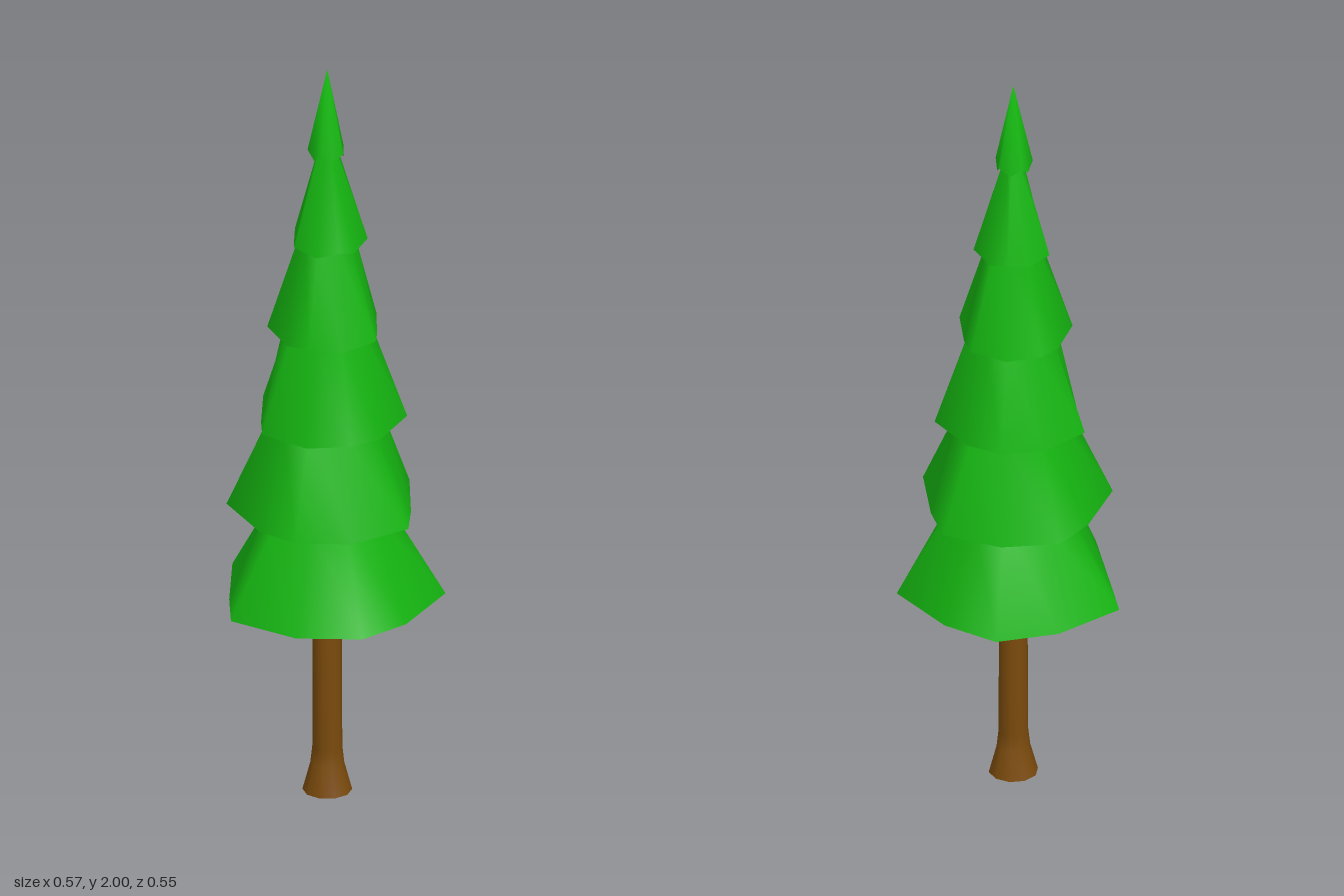
import * as THREE from 'three';
import { mergeVertices } from 'three/addons/utils/BufferGeometryUtils.js';

const SIDES = 10;
const green = new THREE.MeshStandardMaterial({ color: 0x15b511 });
const brown = new THREE.MeshStandardMaterial({ color: 0x7a4a0c });

// Turned surface; at the rim every second corner is pulled in and down
function turned(profile, rimRow = -1) {
  const geo = new THREE.LatheGeometry(profile.map(([r, y]) => new THREE.Vector2(r, y)), SIDES);
  const pos = geo.attributes.position;
  const rows = profile.length;
  for (let i = 0; i < pos.count; i++) {
    if (i % rows === rimRow && Math.floor(i / rows) % 2 === 1) {
      pos.setXYZ(i, pos.getX(i) * 0.83, pos.getY(i) - 0.02, pos.getZ(i) * 0.83);
    }
  }
  geo.deleteAttribute('uv');
  geo.deleteAttribute('normal');
  const merged = mergeVertices(geo, 1e-5);
  merged.computeVertexNormals();
  return merged;
}

// One skirt of branches: sloping outside and shallow hollow underside
function branchTier(y, rimRadius, topY, topRadius) {
  const tier = new THREE.Group();
  const outside = new THREE.Mesh(turned([[rimRadius, y], [topRadius, topY]], 0), green);
  outside.name = 'branchOutside';
  const underside = new THREE.Mesh(turned([[0, y + 0.035], [rimRadius, y]], 1), green);
  underside.name = 'branchUnderside';
  tier.add(outside, underside);
  return tier;
}

export function createModel() {
  const tree = new THREE.Group();
  tree.name = 'pineTree';

  // Trunk with a flared foot
  const trunk = new THREE.Mesh(turned([[0.063, 0], [0.043, 0.075], [0.038, 0.12], [0.036, 0.62]]), brown);
  trunk.name = 'trunk';
  const foot = new THREE.Mesh(turned([[0, 0], [0.063, 0]]), brown);
  foot.name = 'trunkBase';
  tree.add(trunk, foot);

  // Six tiers, each turned half a turn from the one below
  const rims = [0.299, 0.255, 0.202, 0.152, 0.102, 0.05];
  const tops = [0.145, 0.138, 0.108, 0.068, 0.022, 0];
  rims.forEach((rim, i) => {
    const y = 0.545 + i * 0.2465;
    const topY = i === rims.length - 1 ? 2 : y + 0.2465 + 0.015;
    const tier = branchTier(y, rim, topY, tops[i]);
    tier.name = `branchTier${i + 1}`;
    tier.rotation.y = (i % 2) * Math.PI;
    tree.add(tier);
  });

  tree.position.z = -0.022;
  const model = new THREE.Group();
  model.add(tree);
  return model;
}
